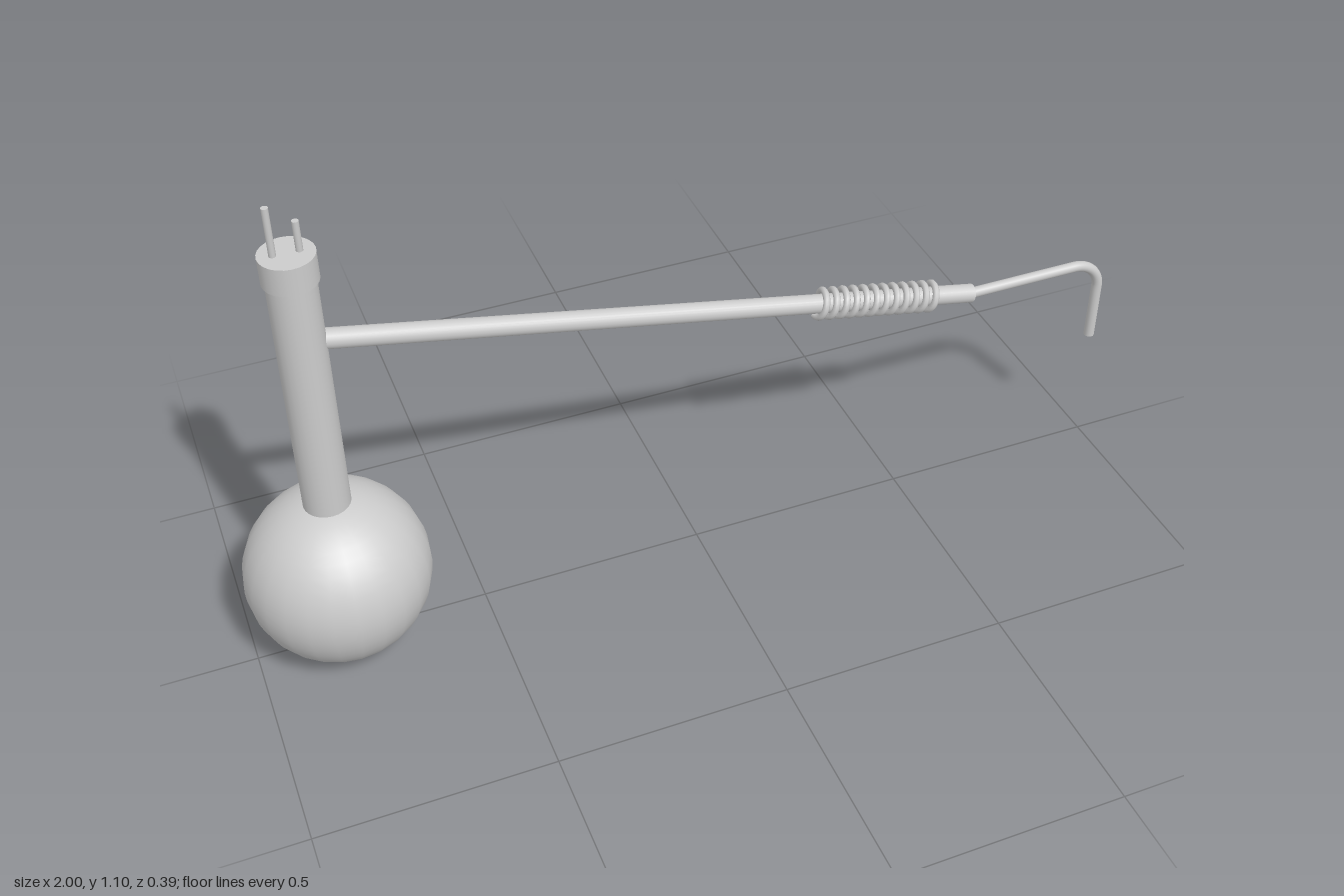
import * as THREE from 'three';

const grey = new THREE.MeshStandardMaterial({ color: 0xcccccc });

function add(parent, name, geometry, x = 0, y = 0, z = 0) {
  const mesh = new THREE.Mesh(geometry, grey);
  mesh.name = name;
  mesh.position.set(x, y, z);
  parent.add(mesh);
  return mesh;
}

// Upright cylinder given by its bottom and top heights
function upright(parent, name, radius, bottom, top, x, sides = 24) {
  return add(parent, name, new THREE.CylinderGeometry(radius, radius, top - bottom, sides), x, (bottom + top) / 2);
}

// Closed round tube along a path
function solidTube(parent, name, path, steps, radius, sides) {
  add(parent, name, new THREE.TubeGeometry(path, steps, radius, sides));
  for (const t of [0, 1]) {
    const p = path.getPointAt(t);
    const cap = add(parent, name + 'End', new THREE.CircleGeometry(radius, sides), p.x, p.y, p.z);
    const outward = path.getTangentAt(t).multiplyScalar(t ? 1 : -1);
    cap.quaternion.setFromUnitVectors(new THREE.Vector3(0, 0, 1), outward);
  }
}

class Helix extends THREE.Curve {
  constructor(radius, length, turns) {
    super();
    Object.assign(this, { radius, length, turns });
  }
  getPoint(t, target = new THREE.Vector3()) {
    const a = t * this.turns * Math.PI * 2;
    return target.set(Math.cos(a) * this.radius, (t - 0.5) * this.length, Math.sin(a) * this.radius);
  }
}

export function createModel() {
  const model = new THREE.Group();
  model.name = 'distillationApparatus';
  const bulbRadius = 0.39 / 2;
  const axisX = bulbRadius - 1;

  // Round flask with neck and stopper
  add(model, 'flaskBulb', new THREE.SphereGeometry(bulbRadius, 24, 24), axisX, bulbRadius);
  upright(model, 'flaskNeck', 0.049, 0.37, 0.96, axisX);
  upright(model, 'stopper', 0.055, 0.936, 0.995, axisX);

  // Two thin rods through the stopper
  upright(model, 'tallRod', 0.007, 0.95, 1.1, axisX - 0.025, 12);
  upright(model, 'shortRod', 0.007, 0.95, 1.06, axisX + 0.025, 12);

  // Sloping side arm
  const start = new THREE.Vector3(-0.77, 0.788, 0);
  const end = new THREE.Vector3(0.655, 0.5, 0);
  const dir = end.clone().sub(start);
  const arm = new THREE.Group();
  arm.name = 'condenserArm';
  arm.position.copy(start).lerp(end, 0.5);
  arm.quaternion.setFromUnitVectors(new THREE.Vector3(0, 1, 0), dir.clone().normalize());
  add(arm, 'armTube', new THREE.CylinderGeometry(0.021, 0.021, dir.length(), 24));

  // Cooling coil wound round the arm
  const coil = new THREE.Group();
  coil.name = 'coolingCoil';
  coil.position.y = 0.488;
  solidTube(coil, 'coilWire', new Helix(0.029, 0.295, 12), 288, 0.0075, 8);
  arm.add(coil);
  model.add(arm);

  // Bent delivery tube
  const tubeX = 0.988, tubeY = 0.5, bend = 0.07;
  const path = new THREE.CurvePath();
  path.add(new THREE.LineCurve3(new THREE.Vector3(0.63, tubeY, 0), new THREE.Vector3(tubeX - bend, tubeY, 0)));
  const k = bend * 0.45;
  path.add(new THREE.CubicBezierCurve3(
    new THREE.Vector3(tubeX - bend, tubeY, 0), new THREE.Vector3(tubeX - k, tubeY, 0),
    new THREE.Vector3(tubeX, tubeY - k, 0), new THREE.Vector3(tubeX, tubeY - bend, 0)));
  path.add(new THREE.LineCurve3(new THREE.Vector3(tubeX, tubeY - bend, 0), new THREE.Vector3(tubeX, 0.29, 0)));
  solidTube(model, 'deliveryTube', path, 64, 0.012, 16);

  return model;
}
